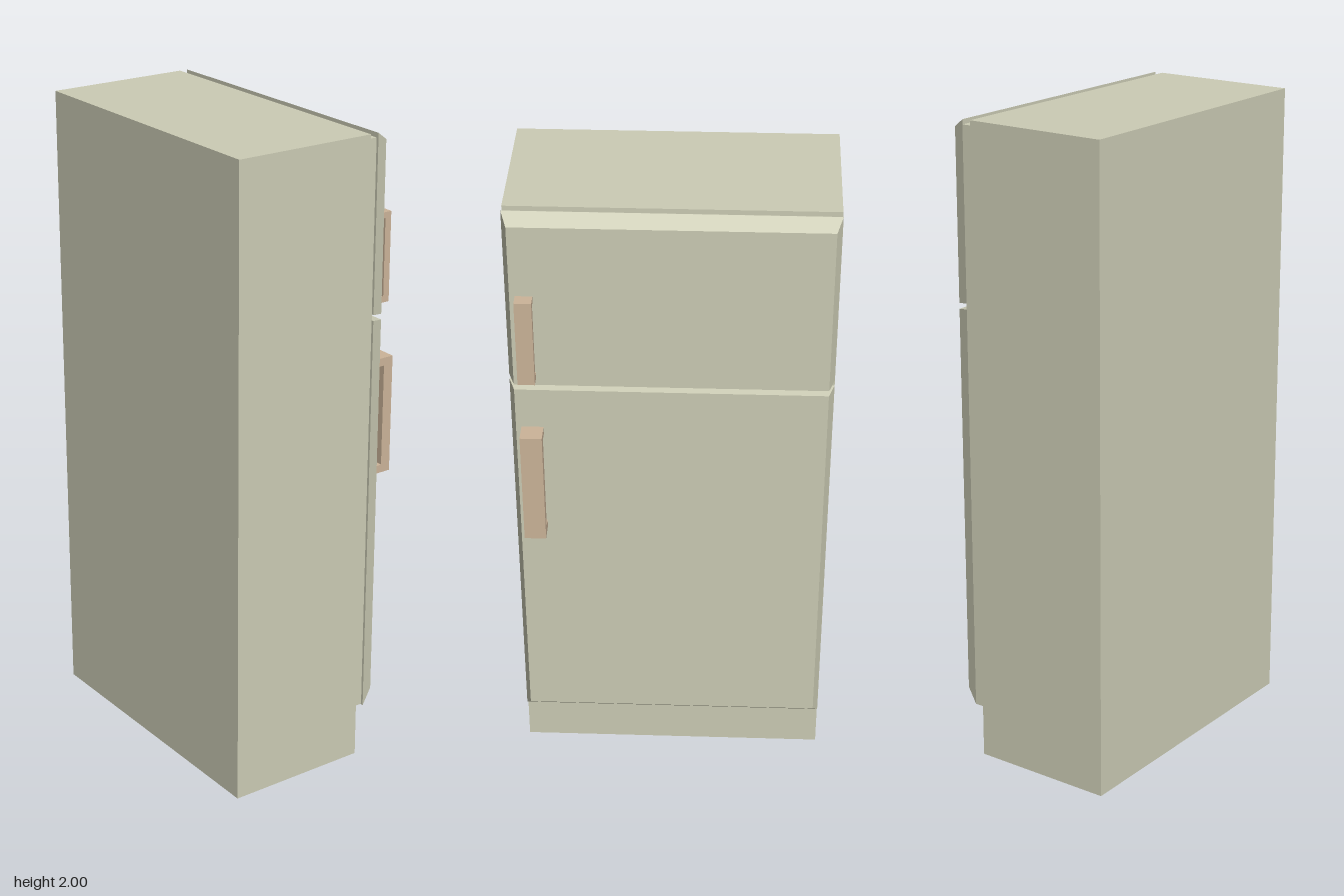
import * as THREE from 'three';

const enamel = new THREE.MeshStandardMaterial({ color: 0xccccb5, flatShading: true });
const tan = new THREE.MeshStandardMaterial({ color: 0xccb499, flatShading: true });

// Box given by its low and high corners
function box(name, [x0, y0, z0], [x1, y1, z1], material) {
  const geometry = new THREE.BoxGeometry(x1 - x0, y1 - y0, z1 - z0);
  geometry.translate((x0 + x1) / 2, (y0 + y1) / 2, (z0 + z1) / 2);
  const mesh = new THREE.Mesh(geometry, material);
  mesh.name = name;
  return mesh;
}

// Door slab whose outer (+x) face is tapered in from the back outline
function door(name, backY, frontY) {
  const mesh = box(name, [0.187, backY[0], -0.473], [0.23, backY[1], 0.473], enamel);
  const p = mesh.geometry.attributes.position;
  const middle = (backY[0] + backY[1]) / 2;
  for (let i = 0; i < p.count; i++) {
    if (p.getX(i) < 0.2) continue;
    p.setY(i, p.getY(i) < middle ? frontY[0] : frontY[1]);
    p.setZ(i, Math.sign(p.getZ(i)) * 0.456);
  }
  mesh.geometry.computeVertexNormals();
  return mesh;
}

// Bracket handle: side profile extruded across its width
function handle(name, y0, y1, reach, bar, arm, z0, z1) {
  const x0 = 0.228, x1 = 0.23 + reach, xi = x1 - bar;
  const profile = [[x0, y0], [x1, y0], [x1, y1], [x0, y1],
    [x0, y1 - arm], [xi, y1 - arm], [xi, y0 + arm], [x0, y0 + arm]];
  const shape = new THREE.Shape(profile.map(([x, y]) => new THREE.Vector2(x, y)));
  const geometry = new THREE.ExtrudeGeometry(shape, { depth: z1 - z0, bevelEnabled: false });
  geometry.translate(0, 0, z0);
  const mesh = new THREE.Mesh(geometry, tan);
  mesh.name = name;
  return mesh;
}

export function createModel() {
  const group = new THREE.Group();
  group.name = 'refrigerator';
  group.add(
    box('cabinet', [-0.295, 0, -0.473], [0.16, 2, 0.473], enamel),
    // Recessed seal between cabinet and doors, flush on the hinge side
    box('doorSeal', [0.158, 0.165, -0.473], [0.188, 1.985, 0.465], enamel),
    door('freezerDoor', [1.458, 2], [1.449, 1.972]),
    door('mainDoor', [0.163, 1.44], [0.205, 1.431]),
    handle('freezerHandle', 1.475, 1.75, 0.04, 0.021, 0.018, 0.39, 0.44),
    handle('mainHandle', 0.93, 1.3, 0.062, 0.032, 0.025, 0.375, 0.44),
  );
  return group;
}
